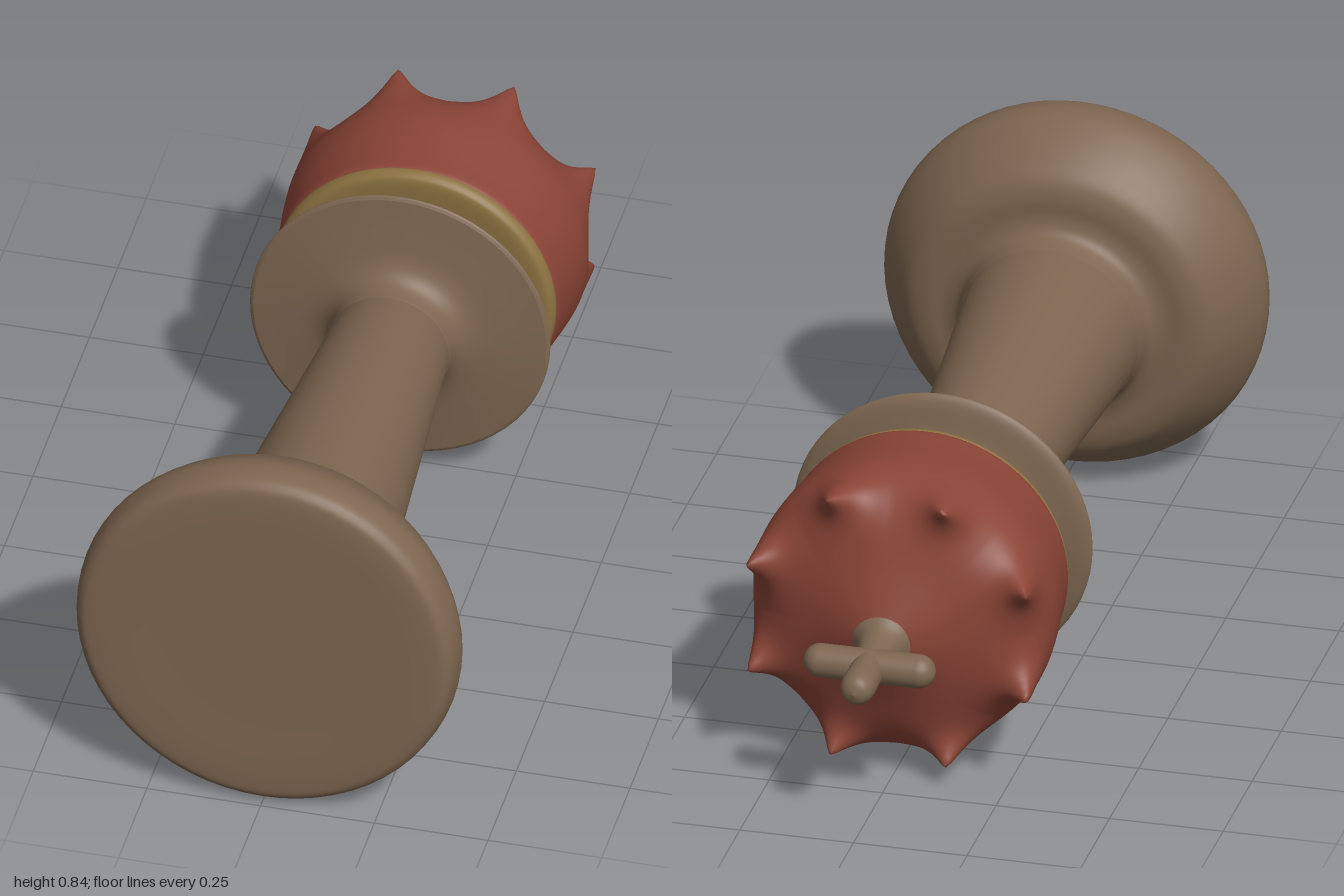
import * as THREE from 'three';
import { mergeVertices } from 'three/addons/utils/BufferGeometryUtils.js';

const brown = new THREE.MeshStandardMaterial({ color: 0x7d6650, side: THREE.DoubleSide });
const red = new THREE.MeshStandardMaterial({ color: 0x8a4436, side: THREE.DoubleSide });
const gold = new THREE.MeshStandardMaterial({ color: 0x8a7040, side: THREE.DoubleSide });

// Smooth profile of [radius, height] pairs
function smoothProfile(pairs, steps) {
  const curve = new THREE.SplineCurve(pairs.map(([r, h]) => new THREE.Vector2(r, h)));
  return curve.getPoints(steps).map((p) => new THREE.Vector2(Math.max(p.x, 0), p.y));
}

function turned(name, pairs, material, steps = 48, segments = 64) {
  const mesh = new THREE.Mesh(new THREE.LatheGeometry(smoothProfile(pairs, steps), segments), material);
  mesh.name = name;
  return mesh;
}

// Domed crown with eight points pulled out of its upper edge
function crownGeometry() {
  const profile = smoothProfile([
    [0.3, 1.345], [0.312, 1.36], [0.318, 1.41], [0.33, 1.5], [0.33, 1.55], [0.315, 1.6],
    [0.285, 1.64], [0.235, 1.675], [0.15, 1.71], [0.08, 1.74], [0.045, 1.755],
  ], 90);
  let geometry = new THREE.LatheGeometry(profile, 192);
  geometry.deleteAttribute('uv');
  geometry.deleteAttribute('normal');
  geometry = mergeVertices(geometry, 1e-5);
  const pos = geometry.attributes.position;
  const p = new THREE.Vector3();
  const centre = new THREE.Vector3();
  for (let i = 0; i < pos.count; i++) {
    p.fromBufferAttribute(pos, i);
    // Nearest point of the crown
    const k = Math.floor(Math.atan2(p.x, p.z) / (Math.PI / 4));
    const angle = (k + 0.5) * Math.PI / 4;
    centre.set(0.302 * Math.sin(angle), 1.617, 0.302 * Math.cos(angle));
    const pull = Math.exp(-Math.pow(p.distanceTo(centre) / 0.042, 1.3));
    p.x += 0.03 * pull * Math.sin(angle);
    p.z += 0.03 * pull * Math.cos(angle);
    p.y += 0.085 * pull;
    pos.setXYZ(i, p.x, p.y, p.z);
  }
  geometry.computeVertexNormals();
  return geometry;
}

export function createModel() {
  const group = new THREE.Group();
  const piece = new THREE.Group();
  piece.name = 'chessKing';

  // Heavy rounded foot
  piece.add(turned('base', [
    [0, 0], [0.2, 0], [0.36, 0], [0.405, 0.012], [0.42, 0.05], [0.418, 0.09], [0.395, 0.14],
    [0.365, 0.185], [0.33, 0.222], [0.29, 0.238], [0.24, 0.243], [0.21, 0.26], [0.197, 0.3],
  ], brown, 72));

  // Tapered shaft flaring into the underside of the collar
  piece.add(turned('shaft', [
    [0.197, 0.29], [0.177, 0.54], [0.153, 0.84], [0.133, 1.09], [0.132, 1.13], [0.145, 1.167],
    [0.18, 1.19], [0.25, 1.203], [0.322, 1.212],
  ], brown, 60));

  // Thin collar rim and the neck above it
  piece.add(turned('collar', [
    [0.322, 1.212], [0.33, 1.22], [0.31, 1.234], [0.25, 1.25], [0.2, 1.272], [0.165, 1.305],
    [0.157, 1.325], [0.18, 1.335],
  ], brown));

  // Ring under the crown
  piece.add(turned('crownBand', [
    [0.15, 1.33], [0.22, 1.33], [0.285, 1.328], [0.304, 1.336], [0.31, 1.352], [0.3, 1.36],
  ], gold, 30));

  const crown = new THREE.Mesh(crownGeometry(), red);
  crown.name = 'crown';
  piece.add(crown);

  // Cross on top: stem with a rounded tip, and a rounded arm
  piece.add(turned('crossStem', [
    [0.075, 1.735], [0.052, 1.763], [0.041, 1.8], [0.037, 1.85], [0.037, 1.9], [0.037, 1.95],
    [0.026, 1.976], [0, 1.987],
  ], brown, 40, 32));
  const arm = new THREE.Mesh(new THREE.CapsuleGeometry(0.037, 0.216, 10, 28), brown);
  arm.name = 'crossArm';
  arm.rotation.z = Math.PI / 2;
  arm.position.y = 1.848;
  piece.add(arm);

  // Lay the piece on its side, resting on the edge of the foot
  piece.rotation.x = -(Math.PI / 2 + 0.037);
  piece.position.set(0, 0.423, 0.985);
  group.add(piece);
  return group;
}
